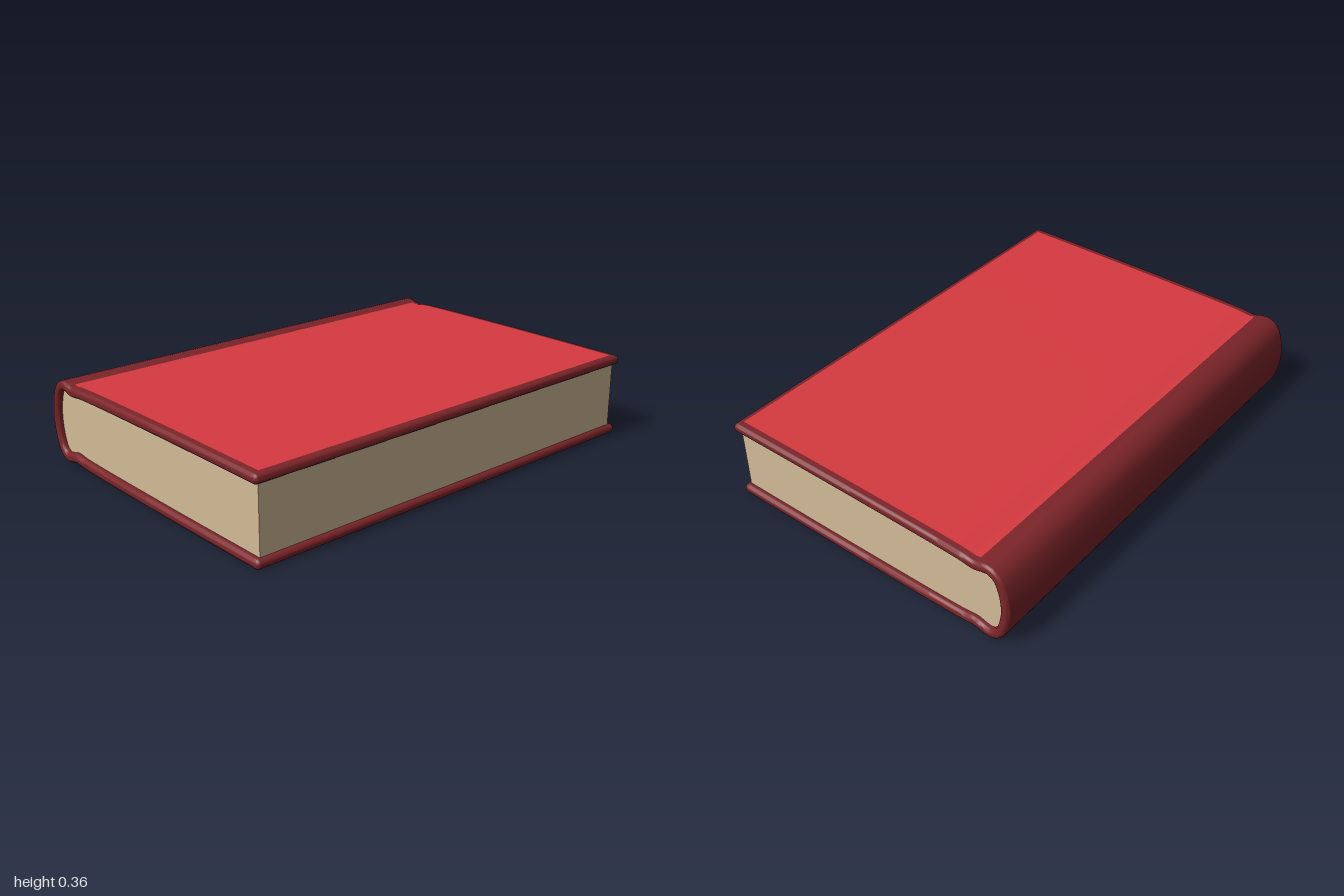
import * as THREE from 'three';
import { toCreasedNormals } from 'three/addons/utils/BufferGeometryUtils.js';

const MID = 0.18;      // half the book's height
const HALF = 0.02;     // half the cover thickness

const material = (color, extra = {}) => new THREE.MeshStandardMaterial({ color, ...extra });

// Centre line of the cover: top board, hinge groove, rounded spine, then mirrored below
const upper = [
  [0.68, 0.34], [0.2, 0.34], [-0.1, 0.338], [-0.35, 0.335], [-0.48, 0.331],
  [-0.54, 0.325], [-0.575, 0.334], [-0.61, 0.338], [-0.645, 0.317], [-0.668, 0.265],
];
const path = new THREE.CatmullRomCurve3([
  ...upper,
  [-0.68, MID],
  ...upper.map(([x, y]) => [x, 2 * MID - y]).reverse(),
].map(([x, y]) => new THREE.Vector3(x, y, 0)));
path.arcLengthDivisions = 800;

// Point at arc fraction u, moved outwards by d
function offsetPoint(u, d) {
  const p = path.getPointAt(u), t = path.getTangentAt(u);
  return new THREE.Vector2(p.x + t.y * d, p.y - t.x * d);
}

function offsetLine(d, n = 200) {
  return Array.from({ length: n + 1 }, (_, i) => offsetPoint(i / n, d));
}

// Arc fraction on the top board at a given x
function fractionAt(x) {
  let lo = 0, hi = 0.48;
  for (let i = 0; i < 30; i++) {
    const m = (lo + hi) / 2;
    if (path.getPointAt(m).x > x) lo = m; else hi = m;
  }
  return lo;
}

// Half-round board edge
function roundEnd(cy, from) {
  return Array.from({ length: 7 }, (_, i) => {
    const a = from + ((i + 1) / 8) * Math.PI;
    return new THREE.Vector2(0.68 + HALF * Math.cos(a), cy + HALF * Math.sin(a));
  });
}

function extrude(points, halfLength, bevel) {
  const geometry = new THREE.ExtrudeGeometry(new THREE.Shape(points), {
    depth: 2 * (halfLength - bevel), bevelEnabled: bevel > 0, bevelSize: bevel,
    bevelThickness: bevel, bevelOffset: -bevel, bevelSegments: 4,
  });
  geometry.translate(0, 0, -(halfLength - bevel));
  return toCreasedNormals(geometry, 0.8);
}

// Thin coloured sheet that follows the board's outer face
function panelGeometry() {
  const rows = 40, left = fractionAt(-0.56), right = fractionAt(0.67);
  const geometry = new THREE.PlaneGeometry(1, 1, rows, 1);
  const pos = geometry.attributes.position;
  for (let i = 0; i < pos.count; i++) {
    const u = THREE.MathUtils.lerp(left, right, pos.getX(i) + 0.5);
    const p = offsetPoint(u, HALF + 0.0015);
    pos.setXYZ(i, p.x, p.y, -pos.getY(i) * 1.93);
  }
  geometry.computeVertexNormals();
  return geometry;
}

export function createModel() {
  const group = new THREE.Group();
  group.name = 'book';
  const add = (name, geometry, mat) => {
    const mesh = new THREE.Mesh(geometry, mat);
    mesh.name = name;
    group.add(mesh);
    return mesh;
  };

  // Cover: both boards and the spine in one piece with rounded edges
  add('cover', extrude([
    ...offsetLine(HALF),
    ...roundEnd(2 * MID - 0.34, -Math.PI / 2),
    ...offsetLine(-HALF).reverse(),
    ...roundEnd(0.34, -Math.PI / 2),
  ], 1, 0.015), material(0x7a2428));

  // Page block fills the inside of the cover
  add('pages', extrude(offsetLine(-HALF + 0.001), 0.975, 0), material(0xd2bb96));

  // Cloth panels on the front and back boards
  const red = material(0xd63a40, { side: THREE.DoubleSide });
  const geometry = panelGeometry();
  add('frontPanel', geometry, red);
  const back = add('backPanel', geometry, red);
  back.rotation.x = Math.PI;
  back.position.y = 2 * MID;

  return group;
}
